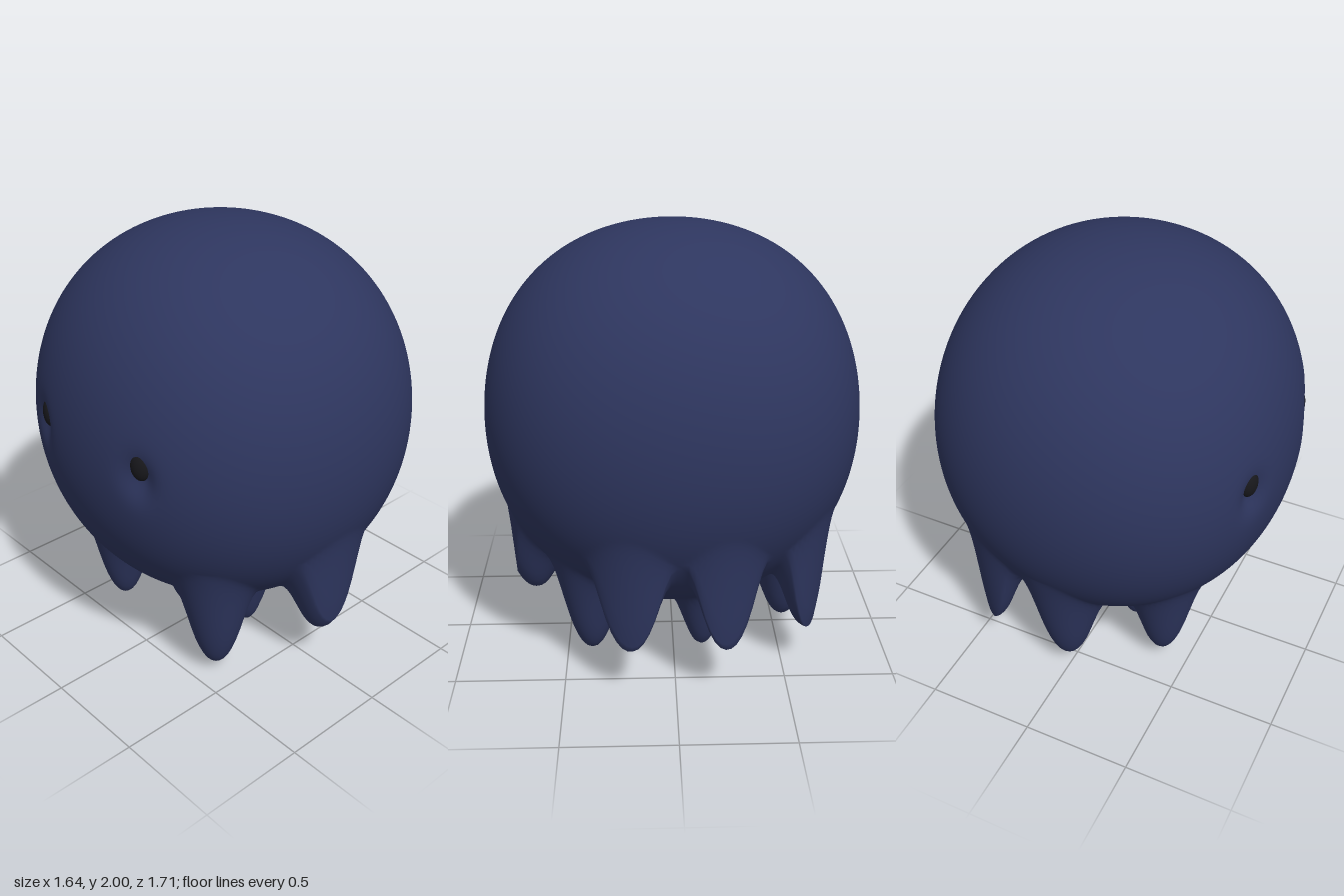
import * as THREE from 'three';
import { mergeVertices } from 'three/addons/utils/BufferGeometryUtils.js';

// Round head: centre height and radii
const CY = 1.13, RX = 0.82, RY = 0.87, RZ = 0.855;

// Hanging tentacles: tip x, y, z and spread
const tentacles = [
  [0, 0.22, 0.66, 0.175], [0.66, 0.25, 0.2, 0.16], [0.66, 0.25, -0.22, 0.15],
  [0.39, 0.2, -0.61, 0.16], [0.32, 0.07, 0.38, 0.145], [-0.38, 0.05, 0.37, 0.15],
  [-0.03, 0.01, 0.2, 0.13], [-0.14, 0, -0.12, 0.13], [0.29, 0.06, -0.13, 0.13],
  [0.02, 0.06, -0.54, 0.155], [-0.37, 0.06, -0.32, 0.145],
];

// Eyes look toward -x, one on each side of the face
const eyes = [-1, 1].map((s) => new THREE.Vector3(-0.76, 1.2, s * 0.325));

function smoothMin(a, b, k) {
  const h = Math.max(k - Math.abs(a - b), 0) / k;
  return Math.min(a, b) - h * h * k / 4;
}

// Slightly squared ball whose underside is drawn down into tentacles, with shallow eye sockets
function bodyGeometry() {
  let geo = new THREE.SphereGeometry(1, 192, 128);
  geo.deleteAttribute('uv');
  geo.deleteAttribute('normal');
  geo = mergeVertices(geo, 1e-5);
  const pos = geo.attributes.position;
  const p = new THREE.Vector3();
  for (let i = 0; i < pos.count; i++) {
    p.fromBufferAttribute(pos, i);
    const xx = p.x * p.x, yy = p.y * p.y, zz = p.z * p.z;
    p.multiplyScalar(1 + 0.1 * (xx * yy + yy * zz + zz * xx));
    const rho = Math.hypot(p.x, p.z), lower = p.y < -0.05;
    p.set(p.x * RX, CY + p.y * RY, p.z * RZ);
    if (lower) {
      const wall = 9 * Math.max(0, rho - 0.875);
      for (const [x, y, z, r] of tentacles) {
        const d = Math.hypot(p.x - x, p.z - z) / r;
        p.y = smoothMin(p.y, y + 0.36 * Math.pow(d, 2.2) + wall, 0.2);
      }
    }
    for (const e of eyes) {
      const dy = (p.y - e.y + 0.04) / 0.09, dz = (p.z - e.z) / 0.065;
      if (p.x < 0) p.x += 0.04 * Math.exp(-dy * dy - dz * dz);
    }
    pos.setXYZ(i, p.x, p.y, p.z);
  }
  geo.computeVertexNormals();
  return geo;
}

export function createModel() {
  const group = new THREE.Group();
  const skin = new THREE.MeshStandardMaterial({ color: 0x2e365f });
  const dark = new THREE.MeshStandardMaterial({ color: 0x18181c });

  const body = new THREE.Mesh(bodyGeometry(), skin);
  body.name = 'bodyWithTentacles';
  group.add(body);

  // Upright oval eyeballs resting in the sockets
  const eyeGeo = new THREE.SphereGeometry(1, 24, 16);
  eyes.forEach((e, i) => {
    const eye = new THREE.Mesh(eyeGeo, dark);
    eye.name = i ? 'frontEye' : 'backEye';
    eye.position.set(e.x + 0.025, e.y + 0.01, e.z * 0.97);
    eye.scale.set(0.03, 0.065, 0.045);
    eye.rotation.y = Math.sign(e.z) * 0.4;
    group.add(eye);
  });
  return group;
}
